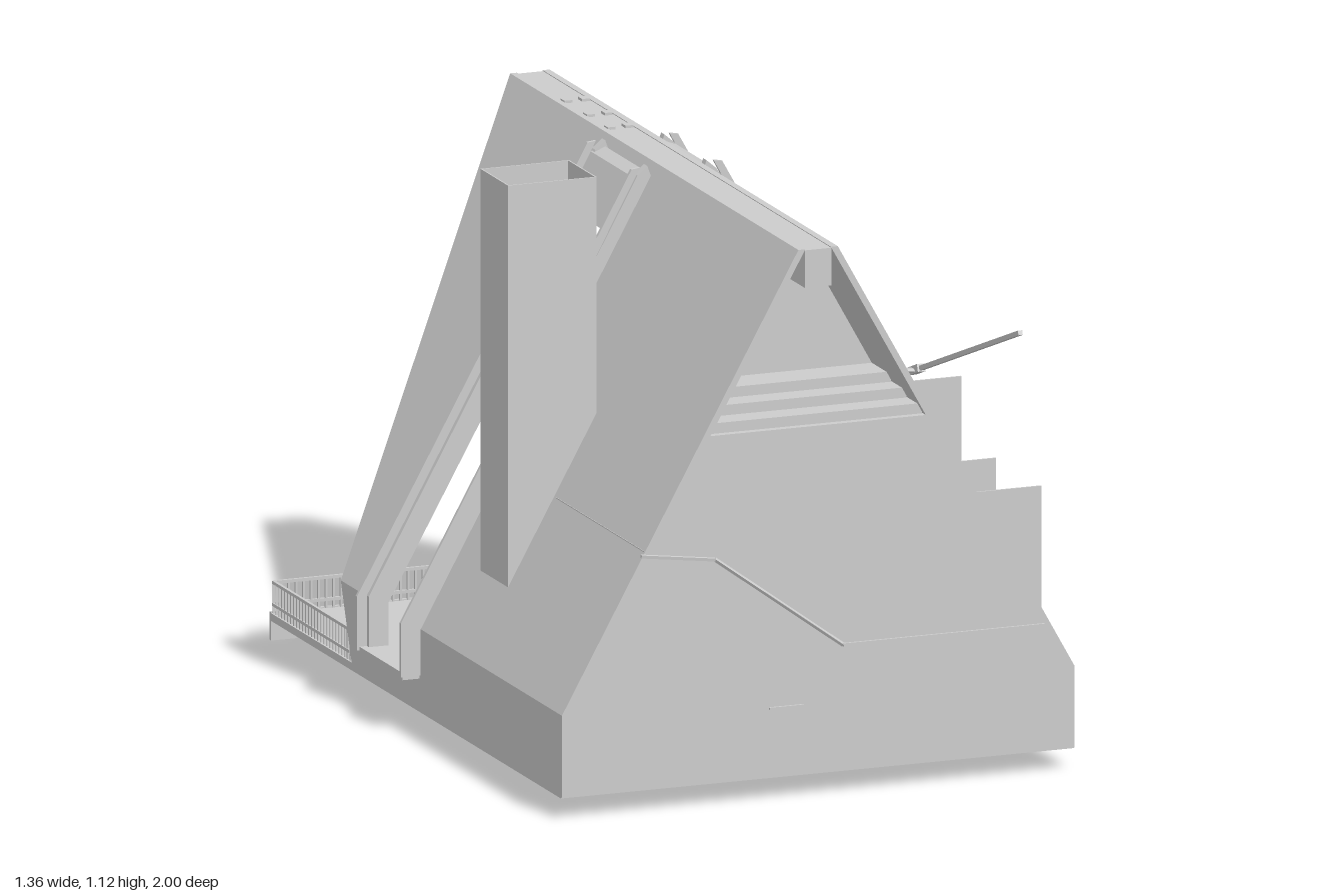
import * as THREE from 'three';

const mat = new THREE.MeshStandardMaterial({ color: 0xcccccc, flatShading: true });
const thin = new THREE.MeshStandardMaterial({ color: 0xcccccc, flatShading: true, side: THREE.DoubleSide });
const CX = -0.12; // centre line of the lodge

// half width of the lodge at a height: upright wall, then steep roof
const halfWidth = y => (y <= 0.205 ? 0.52 : 0.52 - (y - 0.205) * (0.48 / 0.86));

function add(parent, name, geometry, material = mat) {
  const mesh = new THREE.Mesh(geometry, material);
  mesh.name = name;
  parent.add(mesh);
  return mesh;
}
// box from its two extreme corners
function box(parent, name, x0, x1, y0, y1, z0, z1) {
  const m = add(parent, name, new THREE.BoxGeometry(x1 - x0, y1 - y0, z1 - z0));
  m.position.set((x0 + x1) / 2, (y0 + y1) / 2, (z0 + z1) / 2);
  return m;
}
// square bar between two points of the parent's space
function bar(parent, name, a, b, w = 0.01) {
  const p = new THREE.Vector3(...a), d = new THREE.Vector3(...b).sub(p);
  const m = add(parent, name, new THREE.BoxGeometry(w, w, d.length()));
  m.position.copy(p).addScaledVector(d, 0.5);
  m.quaternion.setFromUnitVectors(new THREE.Vector3(0, 0, 1), d.normalize());
  return m;
}
const polygon = pts => new THREE.Shape(pts.map(p => new THREE.Vector2(...p)));
// outline in x,y pushed along z
function plate(parent, name, pts, z, depth) {
  const m = add(parent, name, new THREE.ExtrudeGeometry(polygon(pts), { depth, bevelEnabled: false }));
  m.position.z = z;
  return m;
}
// outline in z,y bent onto the side of the lodge
function sidePanel(parent, name, pts) {
  const g = new THREE.ExtrudeGeometry(polygon(pts), { depth: 0.014, bevelEnabled: false });
  const p = g.attributes.position;
  for (let i = 0; i < p.count; i++) {
    const z = p.getX(i), y = p.getY(i), d = p.getZ(i);
    p.setXYZ(i, halfWidth(y) - d, y, z);
  }
  g.computeVertexNormals();
  return add(parent, name, g, thin);
}
// railing between two x,z points
function railing(parent, a, b, n) {
  for (const y of [0.075, 0.118]) bar(parent, 'deckRail', [a[0], y, a[1]], [b[0], y, b[1]], 0.006);
  for (let i = 0; i <= n; i++) {
    const t = i / n, x = a[0] + (b[0] - a[0]) * t, z = a[1] + (b[1] - a[1]) * t;
    bar(parent, 'deckBaluster', [x, 0.055, z], [x, 0.118, z], 0.004);
  }
}

// one half of the lodge, later mirrored
function lodgeHalf() {
  const g = new THREE.Group();
  g.name = 'lodgeSide';
  sidePanel(g, 'roofPanel', [[-0.13, 0.205], [0.05, 0.205], [0.05, 0.95], [0.27, 0.95], [0.27, 0.205],
    [0.99, 0.205], [0.99, 1.065], [-0.47, 1.065]]);
  sidePanel(g, 'sideWall', [[-0.07, 0.045], [0.99, 0.045], [0.99, 0.205], [0.27, 0.205], [0.27, 0.12],
    [0.05, 0.12], [0.05, 0.205], [-0.13, 0.205]]);
  // stepped surround of the tall window slot
  const rim = [[0.06, 1.062], [0.08, 1.045], [0.54, 0.22], [0.54, 0.115], [0.5, 0.115], [0.5, 0.205], [0.045, 1.02]];
  const lip = [[0.075, 1.06], [0.092, 1.058], [0.56, 0.22], [0.56, 0.115], [0.535, 0.115], [0.535, 0.215]];
  for (const z of [0.045, 0.258]) plate(g, 'windowSurround', rim, z, 0.017);
  for (const z of [0.045, 0.268]) plate(g, 'windowLip', lip, z, 0.007);
  plate(g, 'windowHead', [[0.06, 1.05], [0.085, 1.04], [0.141, 0.94], [0.1, 0.94]], 0.05, 0.22);
  box(g, 'windowSill', 0.49, 0.555, 0.108, 0.122, 0.05, 0.27);
  // ribs under the roof
  for (const z of [-0.06, 0.4, 0.7]) {
    plate(g, 'roofRib', [[0.5, 0.06], [0.5, 0.205], [0.035, 1.035], [0.035, 0.98], [0.465, 0.2], [0.465, 0.06]], z, 0.02);
  }
  // open truss of the rear gable
  bar(g, 'trussStrut', [0.02, 1.0, -0.38], [0.18, 0.76, -0.28], 0.018);
  bar(g, 'trussStrut', [0.0, 0.76, -0.28], [0.12, 0.88, -0.33], 0.018);
  bar(g, 'trussStrut', [0.02, 1.0, -0.1], [0.18, 0.76, -0.1], 0.018);
  bar(g, 'roofBar', [halfWidth(0.52), 0.52, 0.015], [halfWidth(0.4), 0.4, 0.015], 0.014);
  railing(g, [0.515, -0.482], [0.515, -0.09], 26);
  return g;
}

function lodge() {
  const g = new THREE.Group();
  g.name = 'lodge';
  g.position.x = CX;
  const half = lodgeHalf(), other = lodgeHalf();
  other.scale.x = -1;
  g.add(half, other);

  // floor, deck and rear skirt
  box(g, 'floorAndDeck', -0.52, 0.52, 0.043, 0.058, -0.488, 0.985);
  box(g, 'deckSkirt', -0.52, 0.52, 0.005, 0.06, -0.49, -0.482);
  railing(g, [-0.515, -0.482], [0.515, -0.482], 68);

  // front gable wall with a stepped recess over it
  const t = halfWidth(0.72);
  plate(g, 'frontWall', [[-0.515, 0.045], [0.515, 0.045], [0.515, 0.205], [t, 0.72], [-t, 0.72], [-0.515, 0.205]], 0.97, 0.02);
  for (let i = 0; i < 3; i++) {
    const y = 0.72 + i * 0.02, w = halfWidth(y + 0.02) - 0.005;
    box(g, 'gableStep', -w, w, y, y + 0.02, 0.78, 0.975 - i * 0.05);
  }
  const u = halfWidth(0.78) - 0.005;
  plate(g, 'recessedGable', [[-u, 0.78], [u, 0.78], [0.035, 1.05], [-0.035, 1.05]], 0.78, 0.02);
  const trim = [[-0.36, 0.5], [-0.21, 0.48], [0.05, 0.29], [0.46, 0.29]];
  for (let i = 0; i < 3; i++) bar(g, 'wallTrim', [...trim[i], 0.992], [...trim[i + 1], 0.992], 0.006);
  box(g, 'doorHandle', -0.1, -0.03, 0.178, 0.182, 0.985, 0.995);
  box(g, 'roofTrim', -0.352, -0.337, 0.495, 0.508, 0.54, 0.99);

  // ridge beam set between the two roof edges
  box(g, 'ridgeBeam', -0.027, 0.027, 0.99, 1.063, -0.47, 0.99);
  for (const z of [-0.235, -0.12, -0.015]) for (const x of [-0.02, 0.016]) {
    box(g, 'ridgeClip', x - 0.008, x + 0.008, 1.05, 1.068, z - 0.01, z + 0.01);
  }

  // rear collar beams and slatted screen
  for (let i = 0; i < 3; i++) {
    const y = 0.68 + i * 0.04, z = -0.31 + i * 0.03, w = halfWidth(y) - 0.02;
    box(g, 'collarBeam', -w, w, y, y + 0.022, z, z + 0.022);
  }
  const screen = new THREE.Group();
  screen.name = 'slattedScreen';
  for (let i = 0; i < 15; i++) {
    const z = -0.12 + i * 0.017;
    box(screen, 'screenSlat', -0.25, 0.25, 0, 0.008, z, z + 0.008);
  }
  for (const x of [-0.22, -0.11, 0, 0.11, 0.22]) box(screen, 'screenBearer', x - 0.005, x + 0.005, -0.008, 0.001, -0.12, 0.126);
  screen.position.set(0, 0.56, -0.09);
  screen.rotation.x = 0.2;
  g.add(screen);

  // dormer cheeks and inner faces on the left slope
  plate(g, 'upperDormerCheek', [[0.225, 0.735], [0.37, 0.47], [0.37, 0.735]], 0.79, 0.004);
  for (const z of [0.82, 0.59]) plate(g, 'lowerDormerCheek', [[0.345, 0.515], [0.52, 0.2], [0.52, 0.515]], z, 0.004);
  box(g, 'dormerLedge', 0.342, 0.372, 0.455, 0.495, 0.54, 0.79);
  box(g, 'dormerSill', 0.36, 0.38, 0.45, 0.52, 0.33, 0.61);
  box(g, 'shaftSide', 0.376, 0.38, 0.015, 0.045, 0.33, 0.61);
  box(g, 'shaftEnd', 0.38, 0.52, 0.015, 0.045, 0.33, 0.334);

  // open chimney: four thin walls that end on the slope
  const x0 = -0.445, x1 = -0.265, z0 = 0.39, z1 = 0.53, top = 1.12;
  const flank = [[x0, 0.33], [x1, 0.64], [x1, top], [x0, top]];
  plate(g, 'chimneyFlank', flank, z0, 0.003);
  plate(g, 'chimneyFlank', flank, z1 - 0.003, 0.003);
  box(g, 'chimneyOuterWall', x0, x0 + 0.003, 0.33, top, z0, z1);
  box(g, 'chimneyInnerWall', x1 - 0.003, x1, 0.64, top, z0, z1);

  // hanging fireplace
  bar(g, 'fireplaceFlue', [0, 0.47, 0.15], [0, 1.0, 0.15], 0.004);
  const lid = add(g, 'fireplaceLid', new THREE.CylinderGeometry(0.055, 0.055, 0.004, 16));
  lid.position.set(0, 0.475, 0.15);
  const bowl = add(g, 'fireplaceBowl', new THREE.CylinderGeometry(0.055, 0.035, 0.04, 16));
  bowl.position.set(0, 0.43, 0.15);
  bowl.rotation.x = 0.25;

  // furniture
  const sofa = (x, z, turn) => {
    const s = new THREE.Group();
    s.name = 'sofa';
    box(s, 'sofaSeat', -0.12, 0.12, 0.058, 0.095, -0.05, 0.05);
    box(s, 'sofaBack', -0.12, 0.12, 0.095, 0.15, 0.03, 0.05);
    s.position.set(x, 0, z);
    s.rotation.y = turn;
    g.add(s);
  };
  sofa(0.05, 0.42, 0);
  sofa(-0.33, 0.36, -0.5);
  sofa(0.35, 0.38, 0.6);
  add(g, 'tableTop', new THREE.CylinderGeometry(0.075, 0.075, 0.01, 12)).position.set(0, 0.105, 0.13);
  add(g, 'tableFoot', new THREE.CylinderGeometry(0.02, 0.04, 0.045, 12)).position.set(0, 0.08, 0.13);
  box(g, 'stool', -0.33, -0.27, 0.058, 0.1, 0.18, 0.24).rotation.y = 0.5;
  return g;
}

// closed loft through chamfered rectangles: rows of [y, half width, half length]
function loft(rows) {
  const pos = [], idx = [], n = 12;
  for (const [y, w, l] of rows) {
    const c = w * 0.4, e = w * 0.14;
    const q = [[w, l - c * 1.4], [w - e, l - c * 0.6], [w - c, l]];
    const ring = [...q, ...q.map(([a, b]) => [-a, b]).reverse(),
      ...q.map(([a, b]) => [-a, -b]), ...q.map(([a, b]) => [a, -b]).reverse()];
    ring.forEach(([x, z]) => pos.push(x, y, z));
  }
  for (let r = 0; r < rows.length - 1; r++) for (let i = 0; i < n; i++) {
    const a = r * n + i, b = r * n + (i + 1) % n;
    idx.push(a, a + n, b, b, a + n, b + n);
  }
  const last = (rows.length - 1) * n;
  for (let i = 1; i < n - 1; i++) idx.push(0, i, i + 1, last, last + i + 1, last + i);
  const g = new THREE.BufferGeometry();
  g.setAttribute('position', new THREE.Float32BufferAttribute(pos, 3));
  g.setIndex(idx);
  g.computeVertexNormals();
  return g;
}

function cableCar() {
  const g = new THREE.Group();
  g.name = 'cableCar';
  g.position.set(0.565, 0, -0.245);
  add(g, 'skid', loft([[0.003, 0.06, 0.2], [0.012, 0.09, 0.225], [0.022, 0.09, 0.225], [0.03, 0.07, 0.2]]), thin);
  add(g, 'cabin', loft([[0.025, 0.095, 0.2], [0.045, 0.108, 0.212], [0.085, 0.108, 0.215], [0.2, 0.083, 0.2],
    [0.205, 0.088, 0.21], [0.225, 0.083, 0.207], [0.237, 0.06, 0.18]]), thin);
  box(g, 'roofHatch', -0.035, 0.035, 0.23, 0.247, -0.13, 0.13);
  for (const s of [-1, 1]) {
    box(g, 'roofRack', s * 0.05 - 0.004, s * 0.05 + 0.004, 0.235, 0.25, -0.15, 0.15);
    // end window and side window frames
    const pane = box(g, 'endWindow', -0.075, 0.075, 0.09, 0.19, -0.003, 0.003);
    pane.position.z = s * 0.209;
    pane.rotation.x = -s * 0.12;
    const at = y => s * (0.109 - Math.max(0, y - 0.085) * 0.217);
    const frame = [[0.195, -0.17], [0.195, 0.17], [0.07, 0.1], [0.07, -0.1]];
    frame.forEach(([y, z], i) => {
      const [y2, z2] = frame[(i + 1) % 4];
      bar(g, 'sideWindowFrame', [at(y), y, z], [at(y2), y2, z2], 0.008);
    });
    for (const e of [-1, 1]) bar(g, 'sideBrace', [at(0.19), 0.19, e * 0.14], [at(0.09), 0.09, e * 0.085], 0.006);
  }
  // hanger: a flat blade, thin from the front and tapering upwards from the side
  const arm = new THREE.CatmullRomCurve3([[-0.035, 0.24, 0], [-0.058, 0.265, 0], [-0.06, 0.36, 0], [-0.06, 0.46, 0],
    [-0.05, 0.472, 0], [0.01, 0.473, 0]].map(p => new THREE.Vector3(...p)));
  const tube = new THREE.TubeGeometry(arm, 30, 0.004, 6);
  const p = tube.attributes.position;
  for (let i = 0; i < p.count; i++) p.setZ(i, p.getZ(i) * (5.5 - Math.max(0, p.getY(i) - 0.24) * 11));
  add(g, 'hangerArm', tube, thin);
  box(g, 'cableGrip', 0.002, 0.018, 0.466, 0.481, -0.025, 0.025).rotation.x = -0.36;
  return g;
}

export function createModel() {
  const model = new THREE.Group();
  model.name = 'mountainLodge';
  model.add(lodge(), cableCar());
  bar(model, 'cable', [0.575, 0.668, 0.28], [0.575, 0.193, -0.998], 0.009);
  return model;
}
